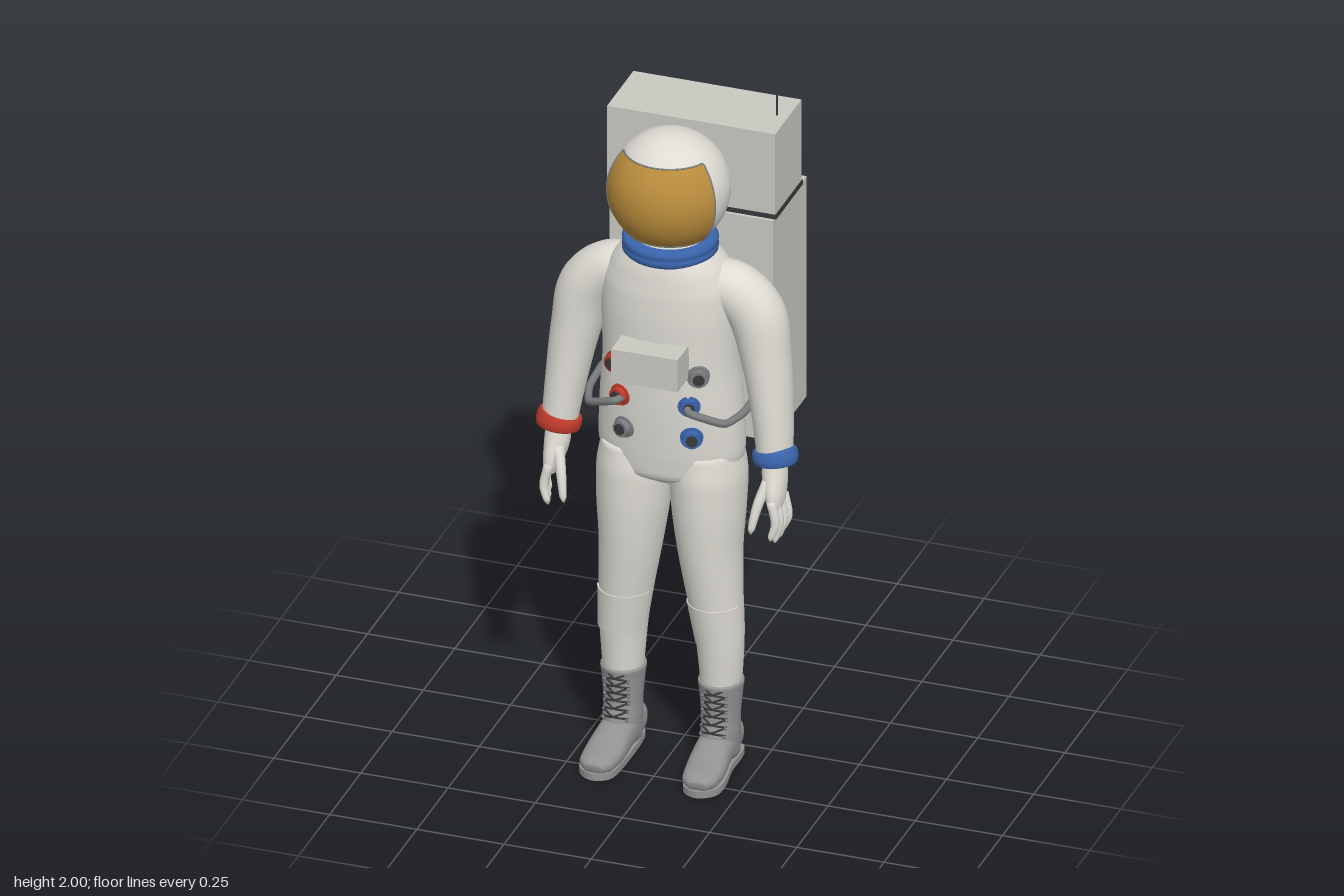
import * as THREE from 'three';

const mat = (name, color, side = THREE.FrontSide) => {
  const m = new THREE.MeshStandardMaterial({ color, side });
  m.name = name;
  return m;
};
const V = (x, y, z) => new THREE.Vector3(x, y, z);

// Smooth closed body through sections [x, y, z, radiusA, radiusB]; radiusA lies along ref
function loft(sections, ref = V(1, 0, 0), steps = 24, sides = 28, power = 2) {
  const path = new THREE.CatmullRomCurve3(sections.map(s => V(s[0], s[1], s[2])));
  const radii = new THREE.CatmullRomCurve3(sections.map(s => V(s[3], s[4], 0)));
  const pos = [], idx = [];
  const bend = c => Math.sign(c) * Math.pow(Math.abs(c), 2 / power);
  for (let i = 0; i <= steps; i++) {
    const t = i / steps, c = path.getPoint(t), r = radii.getPoint(t), T = path.getTangent(t);
    const u = ref.clone().addScaledVector(T, -ref.dot(T)).normalize();
    const w = T.clone().cross(u);
    for (let j = 0; j < sides; j++) {
      const a = j / sides * Math.PI * 2;
      const p = c.clone().addScaledVector(u, r.x * bend(Math.cos(a))).addScaledVector(w, r.y * bend(Math.sin(a)));
      pos.push(p.x, p.y, p.z);
    }
  }
  for (let i = 0; i < steps; i++) for (let j = 0; j < sides; j++) {
    const k = (j + 1) % sides, a = i * sides, b = a + sides;
    idx.push(a + j, a + k, b + j, a + k, b + k, b + j);
  }
  // end caps
  [0, 1].forEach(end => {
    const c = path.getPoint(end), n = pos.length / 3, base = end * steps * sides;
    pos.push(c.x, c.y, c.z);
    for (let j = 0; j < sides; j++) {
      const k = (j + 1) % sides;
      if (end) idx.push(n, base + j, base + k); else idx.push(n, base + k, base + j);
    }
  });
  const g = new THREE.BufferGeometry();
  g.setAttribute('position', new THREE.Float32BufferAttribute(pos, 3));
  g.setIndex(idx);
  g.computeVertexNormals();
  return g;
}

export function createModel() {
  const root = new THREE.Group();
  const suit = mat('suit white', 0xdddbd3), pack = mat('pack grey', 0xc9c8c0);
  const gold = mat('visor gold', 0xb98c3c, THREE.DoubleSide), blue = mat('blue', 0x3a64ac);
  const red = mat('red', 0xbf3a2c), boot = mat('boot grey', 0x929292);
  const metal = mat('metal grey', 0x7c7d7f), dark = mat('dark trim', 0x38393b);

  const add = (name, geo, m, x = 0, y = 0, z = 0, parent = root) => {
    const mesh = new THREE.Mesh(geo, m);
    mesh.name = name;
    mesh.position.set(x, y, z);
    parent.add(mesh);
    return mesh;
  };
  const tube = (pts, r, n = 16, closed = false) =>
    new THREE.TubeGeometry(new THREE.CatmullRomCurve3(pts, closed, 'catmullrom', 0.3), n, r, 8, closed);
  const box = (w, h, d) => new THREE.BoxGeometry(w, h, d);

  // Torso
  add('torso', loft([
    [0, 0.855, 0.1, 0.06, 0.06], [0, 0.9, 0.1, 0.185, 0.122], [0, 0.97, 0.1, 0.205, 0.132],
    [0, 1.1, 0.103, 0.2, 0.14], [0, 1.25, 0.106, 0.19, 0.143], [0, 1.38, 0.11, 0.192, 0.143],
    [0, 1.47, 0.115, 0.185, 0.136], [0, 1.53, 0.118, 0.158, 0.125], [0, 1.575, 0.118, 0.118, 0.113]
  ], V(1, 0, 0), 40, 40, 2.15), suit);

  // Neck ring, helmet and visor
  const lathe = pts => new THREE.LatheGeometry(pts.map(p => new THREE.Vector2(p[0], p[1])), 48);
  add('neckRing', lathe([[0.1, 1.555], [0.124, 1.555], [0.131, 1.563], [0.131, 1.575], [0.126, 1.579],
    [0.131, 1.583], [0.131, 1.595], [0.124, 1.603], [0.1, 1.603]]), blue, 0, 0, 0.117);
  add('helmet', new THREE.SphereGeometry(0.165, 48, 32), suit, 0, 1.745, 0.118);
  const half = 1.13, t0 = 0.82, t1 = 2.36, R = 0.172;
  add('visor', new THREE.SphereGeometry(R, 40, 28, Math.PI / 2 - half, half * 2, t0, t1 - t0), gold, 0, 1.745, 0.118);
  const onVisor = (a, t) => V(R * Math.sin(a) * Math.sin(t), R * Math.cos(t), R * Math.cos(a) * Math.sin(t));
  const rim = [], N = 16;
  for (let i = 0; i < N; i++) rim.push(onVisor(-half + 2 * half * i / N, t0));
  for (let i = 0; i < N; i++) rim.push(onVisor(half, t0 + (t1 - t0) * i / N));
  for (let i = 0; i < N; i++) rim.push(onVisor(half - 2 * half * i / N, t1));
  for (let i = 0; i < N; i++) rim.push(onVisor(-half, t1 - (t1 - t0) * i / N));
  add('visorRim', tube(rim, 0.0025, 128, true), metal, 0, 1.745, 0.118);

  // Backpack with trim and antenna
  add('packLower', box(0.468, 0.675, 0.27), pack, 0, 1.2575, -0.185);
  add('packUpper', box(0.482, 0.25, 0.21), pack, 0, 1.737, -0.155);
  add('packUpperTrim', box(0.488, 0.014, 0.214), dark, 0, 1.608, -0.156);
  for (const y of [1.575, 0.942]) add('packBackTrim', box(0.47, 0.014, 0.01), dark, 0, y, -0.325);
  add('antenna', new THREE.CylinderGeometry(0.003, 0.003, 0.14, 8), dark, 0.208, 1.93, -0.155);

  // Chest box
  add('chestBox', box(0.19, 0.098, 0.12), pack, 0, 1.283, 0.265);

  // Connectors on the chest
  const connectors = [[-0.115, 1.24, red], [0.115, 1.235, metal], [-0.1, 1.142, red],
    [0.09, 1.142, blue], [-0.09, 1.045, metal], [0.097, 1.045, blue]];
  for (const [x, y, m] of connectors) {
    const g = new THREE.Group();
    g.name = 'connector';
    g.position.set(x, y, 0.217);
    g.rotation.y = x * 3.5;
    root.add(g);
    const parts = [['connectorCollar', 0.031, 0.034, 0.03, m, 0], ['connectorRing', 0.024, 0.026, 0.02, m, 0.02],
      ['connectorHub', 0.016, 0.016, 0.02, dark, 0.024]];
    for (const [n, r1, r2, h, mm, z] of parts)
      add(n, new THREE.CylinderGeometry(r1, r2, h, 20), mm, 0, 0, z, g).rotation.x = Math.PI / 2;
  }

  for (const s of [1, -1]) {
    const side = s > 0 ? 'left' : 'right';
    const flip = a => a.map(([x, ...rest]) => [s * x, ...rest]);
    const P = (x, y, z) => V(s * x, y, z);
    const Z = V(0, 0, 1);

    // Arm, wrist ring and hand
    add(side + 'Arm', loft(flip([
      [0.09, 1.475, 0.112, 0.075, 0.06], [0.175, 1.46, 0.106, 0.075, 0.075], [0.24, 1.395, 0.103, 0.079, 0.08],
      [0.272, 1.27, 0.109, 0.075, 0.069], [0.297, 1.1, 0.125, 0.066, 0.056], [0.31, 0.975, 0.143, 0.054, 0.048]
    ]), Z, 36), suit);
    add(side + 'WristRing', loft(flip([
      [0.307, 1.008, 0.139, 0.05, 0.05], [0.308, 1.004, 0.14, 0.06, 0.06], [0.31, 0.987, 0.142, 0.064, 0.063],
      [0.312, 0.97, 0.144, 0.06, 0.06], [0.3125, 0.966, 0.1445, 0.05, 0.05]
    ]), Z, 16, 32), s > 0 ? blue : red);
    add(side + 'Palm', loft(flip([
      [0.31, 0.98, 0.143, 0.034, 0.034], [0.312, 0.93, 0.15, 0.042, 0.035], [0.318, 0.88, 0.162, 0.046, 0.028],
      [0.324, 0.84, 0.17, 0.036, 0.016], [0.325, 0.832, 0.171, 0.01, 0.006]
    ]), Z, 20, 20), suit);
    for (let k = 0; k < 4; k++) {
      const z = 0.2 - k * 0.021, e = 0.742 + Math.abs(k - 1.3) * 0.014, x = 0.318 + k * 0.005;
      add(side + 'Finger', loft(flip([
        [x, 0.875, z, 0.013, 0.013], [x + 0.014, 0.81, z + 0.004, 0.012, 0.012],
        [x + 0.004, e + 0.012, z + 0.01, 0.009, 0.009], [x + 0.002, e, z + 0.01, 0.003, 0.003]
      ]), Z, 12, 10), suit);
    }
    add(side + 'Thumb', loft(flip([
      [0.3, 0.92, 0.175, 0.018, 0.016], [0.282, 0.86, 0.205, 0.014, 0.014],
      [0.27, 0.795, 0.222, 0.01, 0.01], [0.268, 0.78, 0.224, 0.003, 0.003]
    ]), Z, 12, 10), suit);

    // Leg
    const legs = [
      [0.105, 0.97, 0.1, 0.09, 0.115], [0.105, 0.88, 0.1, 0.104, 0.127], [0.108, 0.78, 0.107, 0.1, 0.118],
      [0.113, 0.66, 0.111, 0.088, 0.103], [0.125, 0.53, 0.111, 0.077, 0.086], [0.137, 0.4, 0.104, 0.067, 0.075],
      [0.14, 0.3, 0.101, 0.06, 0.066], [0.14, 0.235, 0.1, 0.055, 0.06]];
    add(side + 'Leg', loft(flip(legs), V(1, 0, 0), 40, 32), suit);

    // Knee pocket, a thin curved panel on the front of the shin
    const pocket = new THREE.CylinderGeometry(1, 1, 0.125, 20, 4, false, -1.25, 2.5);
    const pp = pocket.attributes.position;
    for (let i = 0; i < pp.count; i++) {
      const y = pp.getY(i) + 0.438, f = (y - 0.4) / 0.13;
      pp.setXYZ(i, s * (0.137 - 0.012 * f) + pp.getX(i) * (0.071 + 0.01 * f), y,
        0.104 + 0.007 * f + pp.getZ(i) * (0.079 + 0.011 * f));
    }
    pocket.computeVertexNormals();
    add(side + 'KneePocket', pocket, suit);

    // Boot shaft, collar, foot and sole
    add(side + 'BootShaft', loft(flip([
      [0.14, 0.256, 0.1, 0.057, 0.062], [0.14, 0.25, 0.1, 0.063, 0.067], [0.14, 0.225, 0.1, 0.06, 0.064],
      [0.14, 0.15, 0.101, 0.053, 0.062], [0.14, 0.09, 0.105, 0.052, 0.075], [0.14, 0.03, 0.105, 0.05, 0.075]
    ]), V(1, 0, 0), 28), boot);
    add(side + 'Foot', loft(flip([
      [0.138, 0.05, 0.022, 0.02, 0.025], [0.138, 0.055, 0.032, 0.043, 0.045], [0.139, 0.06, 0.1, 0.05, 0.052],
      [0.141, 0.056, 0.17, 0.052, 0.047], [0.145, 0.042, 0.24, 0.055, 0.033], [0.148, 0.036, 0.3, 0.048, 0.025],
      [0.149, 0.03, 0.322, 0.026, 0.014]
    ]), V(1, 0, 0), 32, 28, 2.4), boot);
    const outline = new THREE.Shape(new THREE.SplineCurve([
      [0, -0.018], [0.04, -0.035], [0.048, -0.08], [0.048, -0.15], [0.061, -0.24], [0.053, -0.3], [0.008, -0.33],
      [-0.036, -0.308], [-0.048, -0.25], [-0.05, -0.15], [-0.048, -0.08], [-0.04, -0.035], [0, -0.018]
    ].map(([x, y]) => new THREE.Vector2(s * x, y))).getPoints(48));
    const sole = new THREE.ExtrudeGeometry(outline, { depth: 0.02, bevelEnabled: false });
    sole.rotateX(-Math.PI / 2);
    add(side + 'Sole', sole, boot, s * 0.142, 0.001, 0);

    // Crossed laces
    for (let k = 0; k < 6; k++) {
      const y = 0.112 + k * 0.022, z = 0.167 + Math.max(0, 2 - k) * 0.007;
      for (const d of [-1, 1]) {
        add(side + 'Lace', tube([P(0.14 - d * 0.035, y, z - 0.018), P(0.14, y + 0.013, z + 0.006),
          P(0.14 + d * 0.035, y + 0.024, z - 0.018)], 0.003, 8), dark);
        add(side + 'LaceHook', new THREE.SphereGeometry(0.005, 8, 6), metal, s * (0.14 + d * 0.034), y, z - 0.01);
      }
    }

    // Hose from the chest connector round to the pack
    add(side + 'Hose', tube([P(0.09, 1.142, 0.23), P(0.108, 1.142, 0.267), P(0.18, 1.112, 0.238), P(0.2, 1.103, 0.215),
      P(0.222, 1.105, 0.14), P(0.224, 1.115, 0.03), P(0.215, 1.11, -0.005), P(0.16, 1.095, -0.06)], 0.011, 48), metal);
  }
  return root;
}
